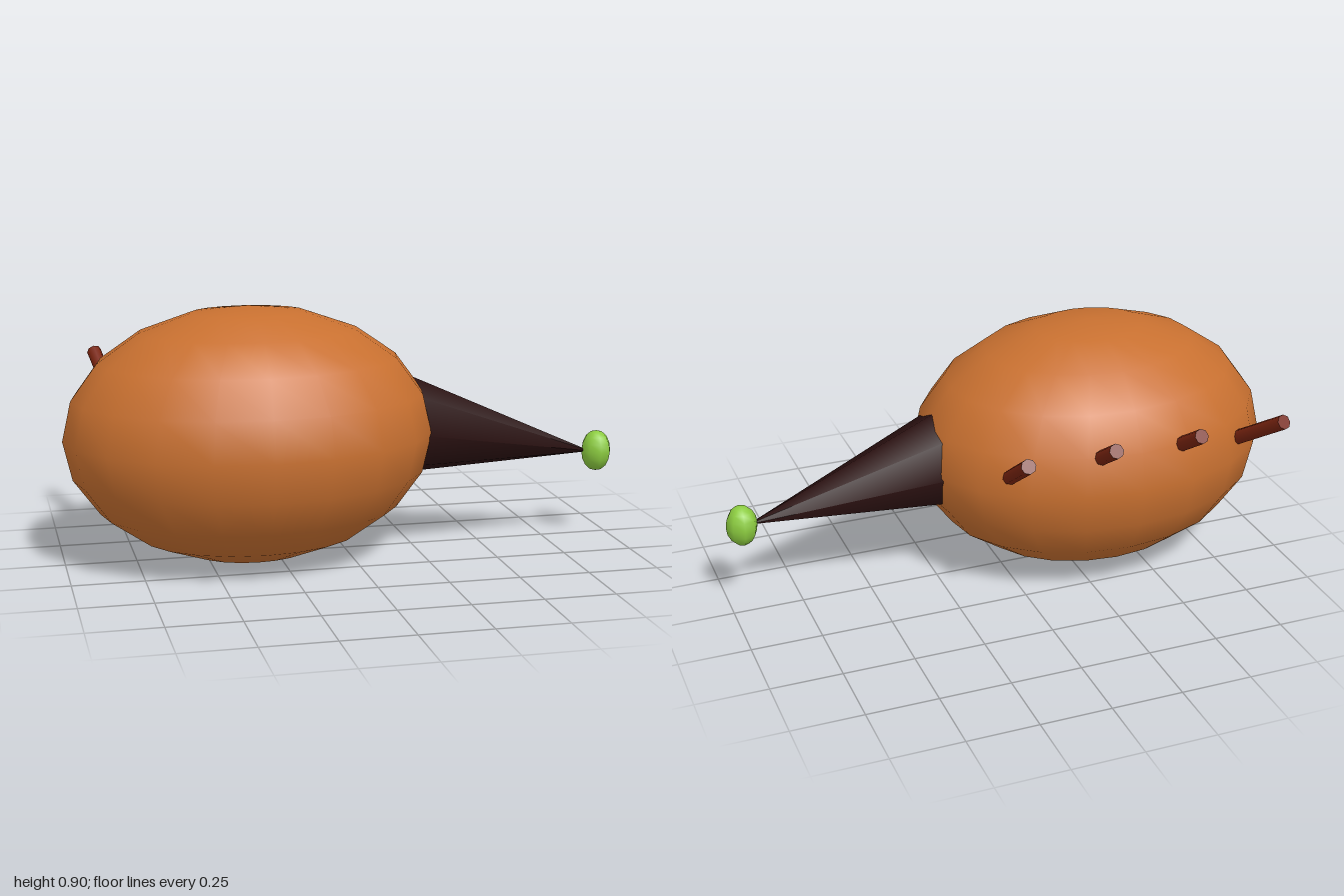
import * as THREE from 'three';

function material(name, color) {
  const m = new THREE.MeshStandardMaterial({ color });
  m.name = name;
  return m;
}

// Cylinder or cone running between two points
function rod(name, from, to, r0, r1, sides, mat) {
  const a = new THREE.Vector3(...from);
  const b = new THREE.Vector3(...to);
  const dir = b.clone().sub(a);
  const mesh = new THREE.Mesh(new THREE.CylinderGeometry(r1, r0, dir.length(), sides), mat);
  mesh.position.copy(a).add(b).multiplyScalar(0.5);
  mesh.quaternion.setFromUnitVectors(new THREE.Vector3(0, 1, 0), dir.normalize());
  mesh.name = name;
  return mesh;
}

function ellipsoid(name, center, radii, cols, rows, mat) {
  const geo = new THREE.SphereGeometry(1, cols, rows);
  geo.scale(...radii);
  const mesh = new THREE.Mesh(geo, mat);
  mesh.position.set(...center);
  mesh.name = name;
  return mesh;
}

export function createModel() {
  const model = new THREE.Group();
  model.name = 'roundCreature';
  const orange = material('orange body', 0xc87030);
  const dark = material('dark snout', 0x2a1010);
  const green = material('green nose', 0x8ccc40);
  const rust = material('rust spines', 0x7a2410);

  // Egg-shaped body
  model.add(ellipsoid('body', [-0.35, 0.455, 0.04], [0.65, 0.45, 0.5], 20, 10, orange));

  // Drooping pointed snout, its base sunk into the body
  model.add(rod('snout', [0.205, 0.456, 0.04], [0.92, 0.323, 0.04], 0.178, 0, 8, dark));

  // Nose at the tip
  model.add(ellipsoid('nose', [0.942, 0.325, 0.04], [0.056, 0.075, 0.056], 8, 8, green));

  // Row of four spines fanning out of the back
  const spines = new THREE.Group();
  spines.name = 'spines';
  const fan = [-0.22, -0.09, 0, 0.11];
  fan.forEach((slope, i) => {
    const tipX = -0.833 + i * 0.313;
    const reach = 0.3;
    spines.add(rod('spine' + (i + 1),
      [tipX - slope * reach, 0.67 - 0.67 * reach, -0.53 + reach],
      [tipX, 0.67, -0.53], 0.026, 0.026, 8, rust));
  });
  model.add(spines);

  return model;
}
